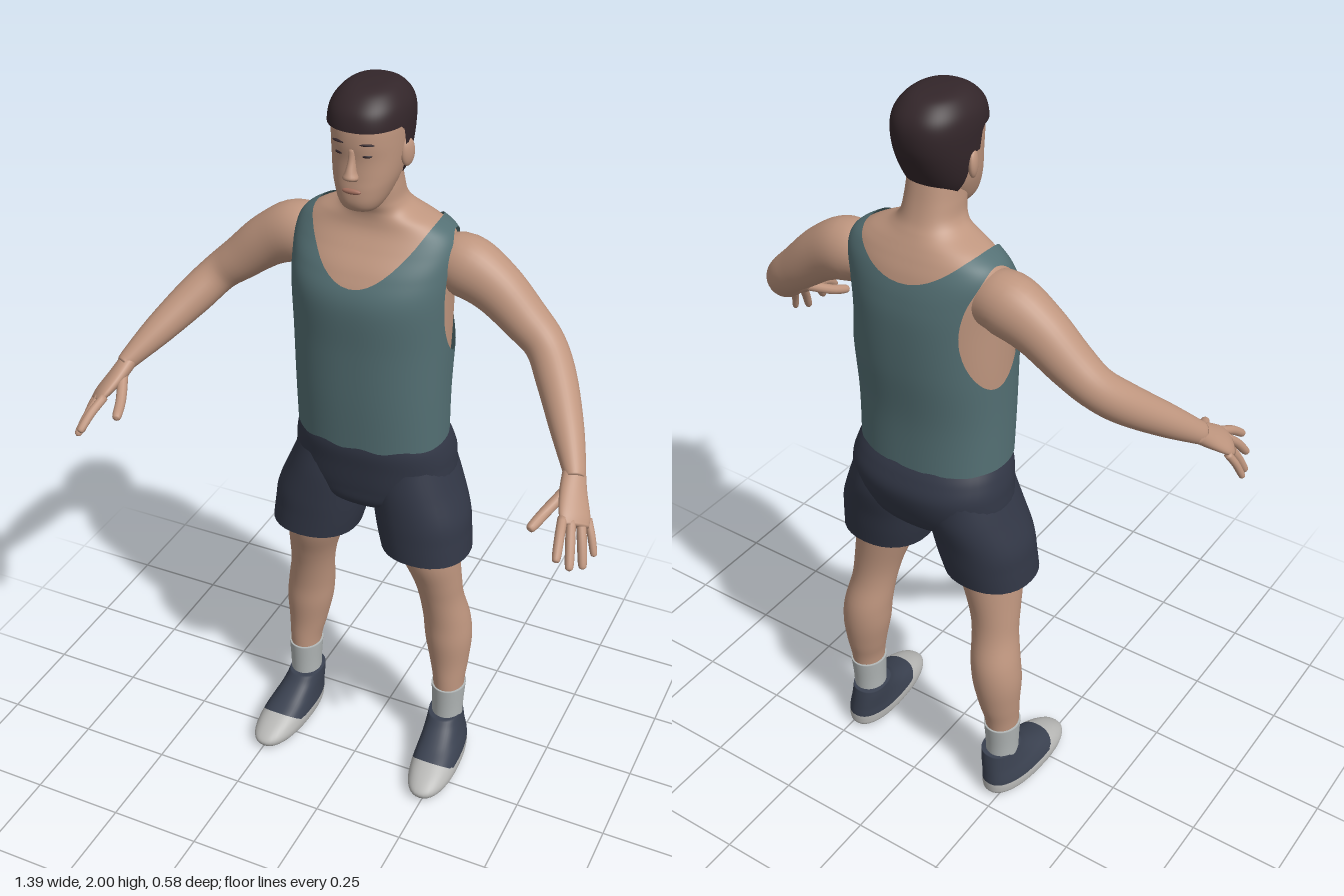
import * as THREE from 'three';

const mat = (name, color, side = THREE.FrontSide) => {
  const m = new THREE.MeshStandardMaterial({ color, side });
  m.name = name;
  return m;
};

// Closed-ring surface through rows [x, y, z, radiusA, radiusB].
// fixed keeps the rings horizontal; otherwise they follow the path, with radiusA along ref.
function skinOver(rows, { fixed = true, ref = [1, 0, 0], seg = 32, steps = 40, power = 2, grow = 0, caps = true } = {}) {
  const curve = (f) => new THREE.CatmullRomCurve3(rows.map(f), false, 'catmullrom', 0.5);
  const path = curve((r) => new THREE.Vector3(r[0], r[1], r[2]));
  const size = curve((r) => new THREE.Vector3(r[3], r[4], 0));
  const pos = [], index = [];
  const bend = (v) => Math.sign(v) * Math.abs(v) ** (2 / power);
  for (let j = 0; j <= steps; j++) {
    const t = j / steps, p = path.getPoint(t), r = size.getPoint(t);
    const dir = fixed ? new THREE.Vector3(0, 1, 0) : path.getTangent(t);
    const a = new THREE.Vector3(...ref);
    a.addScaledVector(dir, -a.dot(dir)).normalize();
    const b = a.clone().cross(dir);
    for (let i = 0; i < seg; i++) {
      const w = (i / seg) * Math.PI * 2;
      const q = p.clone()
        .addScaledVector(a, bend(Math.cos(w)) * (r.x + grow))
        .addScaledVector(b, bend(Math.sin(w)) * (r.y + grow));
      pos.push(q.x, q.y, q.z);
    }
  }
  for (let j = 0; j < steps; j++) {
    for (let i = 0; i < seg; i++) {
      const k = (i + 1) % seg, lo = j * seg, hi = lo + seg;
      index.push(lo + i, hi + i, lo + k, lo + k, hi + i, hi + k);
    }
  }
  if (caps) {
    const n = pos.length / 3, top = steps * seg;
    const s = path.getPoint(0), e = path.getPoint(1);
    pos.push(s.x, s.y, s.z, e.x, e.y, e.z);
    for (let i = 0; i < seg; i++) {
      const k = (i + 1) % seg;
      index.push(n, i, k, n + 1, top + k, top + i);
    }
  }
  const g = new THREE.BufferGeometry();
  g.setAttribute('position', new THREE.Float32BufferAttribute(pos, 3));
  g.setIndex(index);
  g.computeVertexNormals();
  return g;
}

// Keep only the part of a surface where keep(x, y, z) is positive.
function clip(geo, keep) {
  const P = geo.attributes.position, N = geo.attributes.normal, id = geo.index.array;
  const pos = [], nor = [];
  for (let t = 0; t < id.length; t += 3) {
    const tri = [0, 1, 2].map((k) => {
      const p = new THREE.Vector3().fromBufferAttribute(P, id[t + k]);
      return { p, n: new THREE.Vector3().fromBufferAttribute(N, id[t + k]), d: keep(p.x, p.y, p.z) };
    });
    const poly = [];
    tri.forEach((a, k) => {
      const b = tri[(k + 1) % 3];
      if (a.d >= 0) poly.push(a);
      if (a.d >= 0 !== b.d >= 0) {
        const s = a.d / (a.d - b.d);
        poly.push({ p: a.p.clone().lerp(b.p, s), n: a.n.clone().lerp(b.n, s) });
      }
    });
    for (let k = 1; k + 1 < poly.length; k++) {
      for (const v of [poly[0], poly[k], poly[k + 1]]) { pos.push(...v.p); nor.push(...v.n); }
    }
  }
  const g = new THREE.BufferGeometry();
  g.setAttribute('position', new THREE.Float32BufferAttribute(pos, 3));
  g.setAttribute('normal', new THREE.Float32BufferAttribute(nor, 3));
  return g;
}

// Mirror across x, keeping the faces outward.
function mirrored(geo) {
  const g = geo.clone();
  const id = g.index ? Array.from(g.index.array) : Array.from({ length: g.attributes.position.count }, (_, i) => i);
  g.setIndex(id.reverse());
  return g.scale(-1, 1, 1);
}

const blob = (x, y, z, sx, sy, sz, turn = 0) =>
  new THREE.SphereGeometry(1, 20, 14).scale(sx, sy, sz).rotateY(turn).translate(x, y, z);

// Rows given as [y, half width, front z, back z]
const span = (rows) => rows.map(([y, rx, f, b]) => [0, y, (f + b) / 2, rx, (f - b) / 2]);

export function createModel() {
  const skin = mat('skin', 0xbf967f), hairMat = mat('hair', 0x33262a, THREE.DoubleSide);
  const tankMat = mat('tankTopCloth', 0x547074, THREE.DoubleSide);
  const shortsMat = mat('shortsCloth', 0x323746, THREE.DoubleSide);
  const sockMat = mat('sock', 0xb0b5b5), soleMat = mat('sole', 0xb8b8b6);
  const shoeMat = mat('shoeCloth', 0x3a4150, THREE.DoubleSide), lipMat = mat('lips', 0xa4705f);

  const model = new THREE.Group();
  const add = (name, geo, m) => {
    const mesh = new THREE.Mesh(geo, m);
    mesh.name = name;
    model.add(mesh);
  };
  const pair = (name, geo, m) => {
    add(name + 'Left', geo, m);
    add(name + 'Right', mirrored(geo), m);
  };

  // Torso, shoulders and neck
  const torso = span([
    [1.04, 0.188, 0.015, -0.25], [1.2, 0.19, 0.025, -0.25], [1.35, 0.194, 0.03, -0.264],
    [1.48, 0.197, 0.035, -0.268], [1.55, 0.2, 0.01, -0.262], [1.6, 0.2, -0.025, -0.25],
    [1.635, 0.185, -0.048, -0.235], [1.66, 0.15, -0.056, -0.222], [1.685, 0.095, -0.056, -0.208],
    [1.71, 0.073, -0.048, -0.195], [1.75, 0.067, -0.042, -0.182], [1.8, 0.063, -0.045, -0.17]]);
  const torsoOpts = { seg: 80, steps: 88, power: 2.3 };
  add('torso', skinOver(torso, torsoOpts), skin);

  // Tank top, cut out at the neck, arms and hem
  add('tankTop', clip(skinOver(torso, { ...torsoOpts, grow: 0.01, caps: false }), (x, y, z) => {
    const back = THREE.MathUtils.clamp((-0.05 - z) / 0.15, 0, 1);
    const neck = 1.525 + 0.065 * back + (5.5 - 2.3 * back) * x * x - y;
    const arm = Math.abs(x) < 0.08 ? 1 : Math.hypot((z + 0.155) / 0.085, (y - 1.48) / 0.16) - 1;
    const hem = y - 1.073 - 0.004 * Math.sin(x * 60);
    return Math.min(neck, arm * 0.1, hem);
  }), tankMat);

  // Shorts
  add('shortsHips', skinOver(span([
    [0.84, 0.05, -0.06, -0.17], [0.88, 0.15, -0.01, -0.24], [0.93, 0.212, 0.003, -0.268],
    [1.0, 0.215, 0.012, -0.285], [1.05, 0.206, 0.018, -0.272], [1.09, 0.19, 0.015, -0.25]]),
  { power: 2.3, seg: 48 }), shortsMat);
  pair('shortsLeg', skinOver([
    [0.16, 0.735, -0.11, 0.12, 0.114], [0.15, 0.79, -0.115, 0.124, 0.119], [0.14, 0.85, -0.12, 0.125, 0.124],
    [0.12, 0.93, -0.13, 0.113, 0.13], [0.11, 1.0, -0.135, 0.095, 0.125]],
  { power: 2.2, caps: false }), shortsMat);

  // Legs and socks
  pair('leg', skinOver([
    [0.225, 0.1, -0.145, 0.04, 0.045], [0.225, 0.24, -0.148, 0.043, 0.05], [0.22, 0.32, -0.157, 0.054, 0.058],
    [0.214, 0.4, -0.16, 0.065, 0.067], [0.207, 0.47, -0.158, 0.065, 0.067], [0.195, 0.55, -0.142, 0.061, 0.063],
    [0.185, 0.62, -0.13, 0.066, 0.07], [0.165, 0.72, -0.117, 0.079, 0.09], [0.14, 0.85, -0.12, 0.09, 0.1]]), skin);
  pair('sock', skinOver([
    [0.225, 0.1, -0.145, 0.043, 0.048], [0.225, 0.17, -0.146, 0.044, 0.049], [0.225, 0.24, -0.148, 0.048, 0.054]]), sockMat);

  // Shoes: one shape split into a pale sole with toe cap and a dark upper
  const shoe = skinOver([
    [0.236, 0, -0.055, 0.045, 0.14], [0.237, 0.012, -0.055, 0.061, 0.157], [0.237, 0.03, -0.055, 0.065, 0.16],
    [0.236, 0.05, -0.068, 0.063, 0.147], [0.234, 0.07, -0.089, 0.058, 0.124], [0.231, 0.09, -0.113, 0.053, 0.098],
    [0.228, 0.115, -0.134, 0.049, 0.074], [0.226, 0.14, -0.146, 0.046, 0.058]], { power: 2.3, seg: 40 });
  shoe.translate(-0.236, 0, 0.055).rotateY(0.06).translate(0.236, 0, -0.055);
  const upper = (x, y, z) => y - 0.045 - 0.9 * Math.max(0, z + 0.01);
  pair('shoeUpper', clip(shoe, upper), shoeMat);
  pair('shoeSole', clip(shoe, (x, y, z) => -upper(x, y, z)), soleMat);

  // Arms
  pair('arm', skinOver([
    [0.15, 1.55, -0.15, 0.06, 0.06], [0.22, 1.553, -0.15, 0.072, 0.078], [0.3, 1.515, -0.147, 0.064, 0.068],
    [0.38, 1.45, -0.14, 0.057, 0.057], [0.44, 1.4, -0.126, 0.051, 0.05], [0.49, 1.345, -0.075, 0.049, 0.049],
    [0.55, 1.275, 0.01, 0.041, 0.04], [0.595, 1.22, 0.08, 0.031, 0.027], [0.605, 1.205, 0.1, 0.028, 0.022]],
  { fixed: false, ref: [0, 0, 1] }), skin);

  // Hands
  const across = [0.05, -0.02, -0.06];
  pair('palm', skinOver([
    [0.597, 1.218, 0.08, 0.028, 0.022], [0.612, 1.185, 0.125, 0.036, 0.021],
    [0.632, 1.154, 0.168, 0.042, 0.016], [0.642, 1.138, 0.188, 0.036, 0.01]],
  { fixed: false, ref: across, steps: 16 }), skin);
  const digit = (a, m, b, r) => skinOver(
    [[...a, r, r], [...m, r, r], [...new THREE.Vector3(...m).lerp(new THREE.Vector3(...b), 0.85), r * 0.85, r * 0.85], [...b, 0.002, 0.002]],
    { fixed: false, ref: across, seg: 12, steps: 15 });
  const knuckles = [[0.612, 1.157, 0.195], [0.63, 1.15, 0.187], [0.648, 1.141, 0.167], [0.658, 1.136, 0.145]];
  const tips = [[0.632, 1.1, 0.288], [0.658, 1.068, 0.264], [0.677, 1.048, 0.22], [0.69, 1.06, 0.178]];
  knuckles.forEach((k, i) => {
    const mid = k.map((v, c) => (v + tips[i][c]) / 2 + (c === 1 ? 0.006 : 0));
    pair('finger' + (i + 1), digit(k, mid, tips[i], 0.0115 - (i === 3 ? 0.002 : 0)), skin);
  });
  pair('thumb', digit([0.598, 1.19, 0.12], [0.568, 1.155, 0.185], [0.549, 1.134, 0.242], 0.0135), skin);

  // Head
  const head = span([
    [1.705, 0.028, -0.02, -0.08], [1.717, 0.043, 0.006, -0.09], [1.738, 0.057, 0.018, -0.12],
    [1.77, 0.07, 0.02, -0.15], [1.8, 0.078, 0.018, -0.17], [1.84, 0.083, 0.017, -0.19],
    [1.88, 0.085, 0.021, -0.204], [1.92, 0.085, 0.019, -0.207], [1.95, 0.078, 0.008, -0.198],
    [1.975, 0.06, -0.018, -0.175], [1.988, 0.038, -0.048, -0.148], [1.992, 0.008, -0.09, -0.106]]);
  const headOpts = { seg: 64, steps: 66, power: 2.25 };
  add('head', skinOver(head, headOpts), skin);

  // Short hair with a hairline stepping down behind the ears
  const { smoothstep } = THREE.MathUtils;
  add('hair', clip(skinOver(head, { ...headOpts, grow: 0.009 }).translate(0, 0.007, 0), (x, y, z) =>
    y - 1.765 - 0.1 * smoothstep(z, -0.125, -0.1) - 0.05 * smoothstep(z, -0.075, -0.06)), hairMat);

  // Face
  add('nose', skinOver([
    [0, 1.797, 0.018, 0.014, 0.01], [0, 1.806, 0.024, 0.019, 0.018], [0, 1.82, 0.022, 0.013, 0.016],
    [0, 1.845, 0.016, 0.009, 0.011], [0, 1.872, 0.014, 0.009, 0.007]], { steps: 16, seg: 20 }), skin);
  add('lips', blob(0, 1.77, 0.019, 0.024, 0.007, 0.007), lipMat);
  pair('eye', blob(0.033, 1.857, 0.009, 0.013, 0.004, 0.006, 0.25), hairMat);
  pair('eyebrow', blob(0.035, 1.885, 0.013, 0.018, 0.003, 0.005, 0.28), hairMat);
  pair('ear', blob(0.089, 1.838, -0.095, 0.011, 0.034, 0.021, -0.35), skin);

  return model;
}
